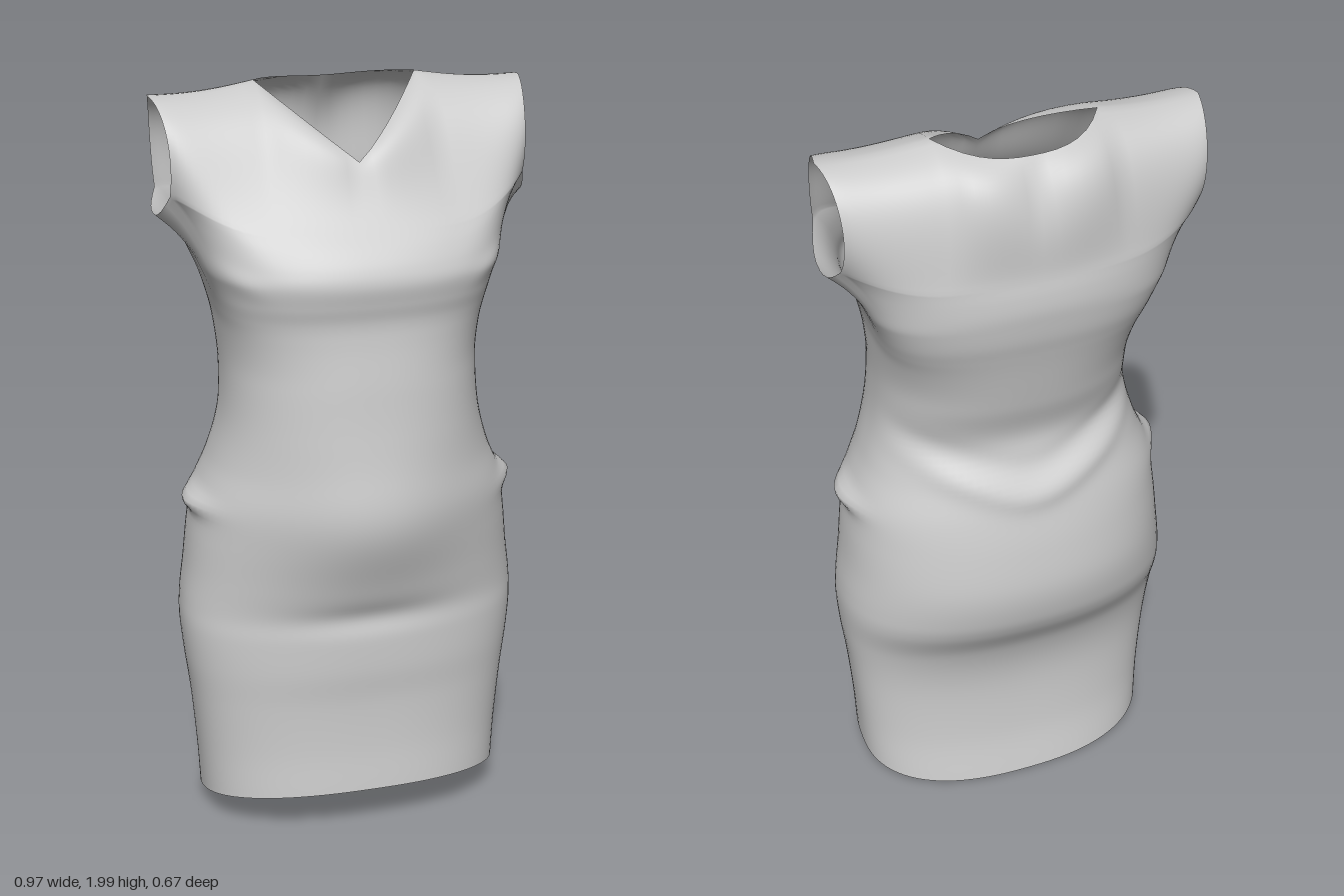
import * as THREE from 'three';
import { mergeGeometries, mergeVertices } from 'three/addons/utils/BufferGeometryUtils.js';

const HALF = 48;              // columns on the front (and on the back)
const COLS = HALF * 2;
const ARM = 5;                // columns of underarm on each side of the side seam
const { lerp, smoothstep } = THREE.MathUtils;
const bump = (d, w) => Math.exp(-(d * d) / (w * w));
const angle = (col) => ((col % COLS) / COLS) * Math.PI * 2;

// Cross-sections: height, half width, front z, back z, side z, roundness
const SECTIONS = [
  [0.065, 0.41, 0.255, -0.24, -0.01, 2.4],
  [0.20, 0.418, 0.245, -0.215, -0.01, 2.4],
  [0.36, 0.432, 0.243, -0.21, -0.01, 2.4],
  [0.48, 0.447, 0.25, -0.24, -0.01, 2.3],
  [0.58, 0.455, 0.25, -0.30, -0.01, 2.25],
  [0.65, 0.452, 0.25, -0.325, -0.01, 2.2],
  [0.74, 0.44, 0.262, -0.335, -0.01, 2.2],
  [0.85, 0.428, 0.275, -0.322, -0.01, 2.2],
  [0.95, 0.412, 0.285, -0.30, -0.01, 2.2],
  [1.05, 0.372, 0.291, -0.27, -0.005, 2.2],
  [1.16, 0.342, 0.297, -0.232, 0, 2.25],
  [1.28, 0.332, 0.292, -0.262, -0.01, 2.3],
  [1.40, 0.338, 0.278, -0.29, -0.03, 2.3],
  [1.46, 0.348, 0.275, -0.305, -0.045, 2.3],
  [1.51, 0.362, 0.284, -0.318, -0.06, 2.3],
  [1.56, 0.382, 0.291, -0.326, -0.075, 2.25],
  [1.60, 0.402, 0.28, -0.33, -0.085, 2.2],
  [1.64, 0.435, 0.254, -0.328, -0.09, 2.2],
  [1.68, 0.48, 0.218, -0.322, -0.09, 2.2],
];
const curve = (i, j, k) => new THREE.CatmullRomCurve3(
  SECTIONS.map((r) => new THREE.Vector3(r[i], r[j], r[k])), false, 'catmullrom', 0.5);
const outline = curve(0, 1, 5);
const depth = curve(2, 3, 4);

// Closed tube of cloth from hem to underarm
function body(col, v) {
  const th = angle(col);
  const o = outline.getPoint(v), d = depth.getPoint(v);
  const c = Math.cos(th), s = Math.sin(th), e = 2 / o.z;
  // broad chest and back
  const flat = 1 - 0.35 * smoothstep(o.x, 1.3, 1.5) * (1 - 0.75 * smoothstep(o.x, 1.56, 1.68));
  let x = o.y * Math.sign(c) * Math.abs(c) ** e;
  let z = d.z + ((s >= 0 ? d.x : d.y) - d.z) * Math.abs(s) ** (e * flat);
  // lower rim of the armhole rises to front and back of the side seam
  const m = HALF / 2 - Math.abs((col % HALF) - HALF / 2);
  const rise = (s >= 0 ? 0.073 : 0.043)
    * (m < ARM ? (m / ARM) ** 2 : 1 - smoothstep(m, ARM, ARM + 12));
  const y = o.x + rise * smoothstep(o.x, 1.56, 1.69)
    + 0.27 * z * (1 - smoothstep(o.x, 0.065, 0.6));   // sloping hem
  // pinched folds at the hips
  x += c * 0.03 * bump(o.x - 0.935, 0.025) * bump(z - 0.01, 0.09);
  if (s < 0) {
    // draped folds across the lower back
    const r = y - 0.5 * Math.sqrt(x * x + 0.01);
    z -= -s * (0.012 * bump(r - 0.96, 0.035) - 0.009 * bump(r - 1.03, 0.035));
  } else {
    // belly, and the fold beneath it
    z += s * 0.053 * bump(y - 0.93, 0.18) * bump(x, 0.26);
    z -= s * 0.012 * bump(y - 0.645, 0.04) * bump(x, 0.2);
    // bust darts
    z += 0.008 * bump(y - 1.6 + 0.4 * (0.4 - Math.abs(x)), 0.03) * bump(Math.abs(x) - 0.34, 0.06);
  }
  return new THREE.Vector3(x, y, z);
}

// Upper panel between underarm, armholes, shoulder seams and neckline
const EDGE = Math.cos(angle(ARM));
const NECK = Math.cos(angle(17)) / EDGE;
function panel(front) {
  const dir = front ? 1 : -1;
  const radius = front ? 0.14 : 0.13, start = front ? 1.03 : 0.775;
  return (i, t) => {
    const col = (front ? 0 : HALF) + ARM + i;
    const c = Math.cos(angle(col)), sg = Math.sign(c);
    const q = Math.min(1, Math.abs(c) / EDGE);
    const w = Math.min(1, q / NECK), k = Math.max(0, (q - NECK) / (1 - NECK));
    const seam = new THREE.Vector3(sg * (0.21 * w + 0.273 * k),
      lerp(1.995, 1.975, k) - 0.008 * Math.sin(Math.PI * k), lerp(-0.12, -0.1, k));
    const p = body(col, 1).lerp(seam, t);
    // V neckline in front, shallow scoop behind
    const drop = t ** 1.5;
    p.y -= drop * (front ? 0.165 * (1 - w) : 0.025 * (1 - w * w));
    p.z += drop * (front ? 0.24 * (1 - w ** 1.4) : -0.115 * (1 - w ** 3));
    // armhole arc, fading towards the middle
    const phi = lerp(start, Math.PI, t), f = q ** 4, arc = Math.sin(Math.PI * t);
    p.z += f * dir * radius * (Math.sin(phi) - (1 - t) * Math.sin(start));
    p.y += f * 0.147 * (lerp(Math.cos(start), -1, t) - Math.cos(phi));
    p.x -= sg * f * 0.01 * arc;
    // fullness of bust and back, rounded shoulders
    const round = 0.03 * 4 * q * (1 - q) * Math.sin(Math.PI * t * t);
    p.z += dir * ((front ? 0.012 : 0.045) * (1 - q * q) * arc + round);
    p.y += round;
    return p;
  };
}

// Surface from a rule over columns and rows
function grid(fn, cols, rows) {
  const pos = [], index = [], n = cols + 1;
  for (let r = 0; r <= rows; r++)
    for (let c = 0; c <= cols; c++) pos.push(...fn(c, r / rows).toArray());
  for (let r = 0; r < rows; r++)
    for (let c = 0; c < cols; c++) {
      const a = r * n + c;
      index.push(a, a + n, a + 1, a + 1, a + n, a + n + 1);
    }
  const g = new THREE.BufferGeometry();
  g.setAttribute('position', new THREE.Float32BufferAttribute(pos, 3));
  g.setIndex(index);
  return g;
}

export function createModel() {
  const group = new THREE.Group();
  group.name = 'sleevelessDress';
  const geometry = mergeVertices(mergeGeometries([
    grid(body, COLS, 128),
    grid(panel(true), HALF - 2 * ARM, 24),
    grid(panel(false), HALF - 2 * ARM, 24),
  ]), 1e-4);
  geometry.computeVertexNormals();
  const dress = new THREE.Mesh(geometry,
    new THREE.MeshStandardMaterial({ color: 0xcccccc, side: THREE.DoubleSide }));
  dress.name = 'dressCloth';
  group.add(dress);
  return group;
}
